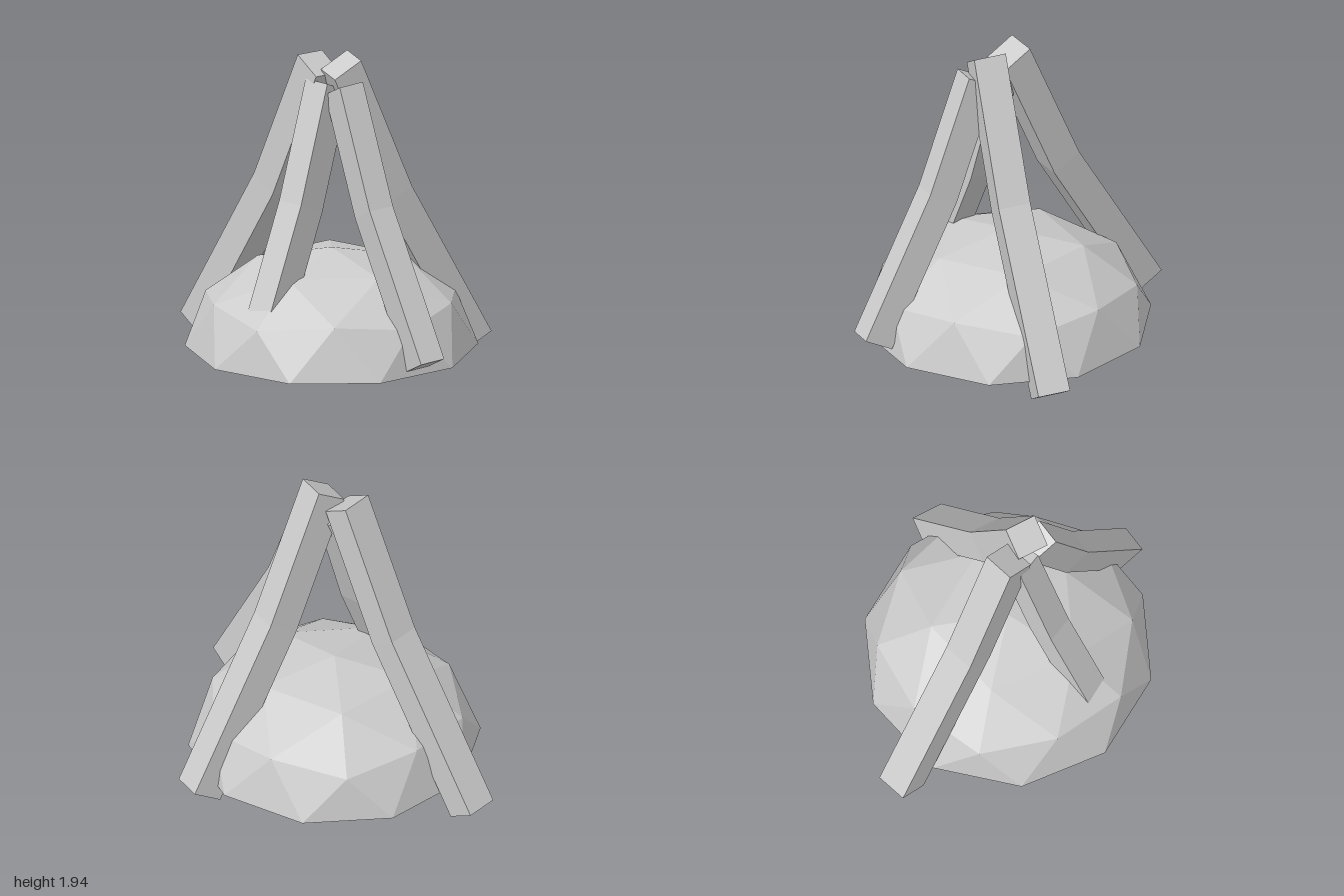
import * as THREE from 'three';

const material = new THREE.MeshStandardMaterial({ color: 0xcccccc, flatShading: true, side: THREE.DoubleSide });

// Square beam with one bend: path runs bottom, bend, top along the middle of the outer face
function beam(name, path, width, depth) {
  const geo = new THREE.BoxGeometry(1, 2, 1, 1, 2, 1).toNonIndexed();
  const pts = path.map(p => new THREE.Vector3(...p));
  const w = new THREE.Vector3(...width), d = new THREE.Vector3(...depth);
  const pos = geo.attributes.position, v = new THREE.Vector3();
  for (let i = 0; i < pos.count; i++) {
    const x = pos.getX(i), level = Math.round(pos.getY(i)) + 1, inward = 0.5 - pos.getZ(i);
    v.copy(pts[level]).addScaledVector(w, x).addScaledVector(d, inward);
    pos.setXYZ(i, v.x, v.y, v.z);
  }
  geo.computeVertexNormals();
  const mesh = new THREE.Mesh(geo, material);
  mesh.name = name;
  return mesh;
}

// Open, flattened upper half of a subdivided icosahedron
function dome() {
  const ico = new THREE.IcosahedronGeometry(1, 1);
  ico.rotateZ(-Math.atan(2 / (1 + Math.sqrt(5)))); // one corner to the pole
  const pos = ico.attributes.position, kept = [];
  for (let i = 0; i < pos.count; i += 3) {
    const tri = [i, i + 1, i + 2];
    if (tri.every(k => pos.getY(k) > -0.001))
      tri.forEach(k => kept.push(pos.getX(k), pos.getY(k), pos.getZ(k)));
  }
  const geo = new THREE.BufferGeometry();
  geo.setAttribute('position', new THREE.Float32BufferAttribute(kept, 3));
  geo.scale(0.875, 0.605, 0.875);
  geo.translate(-0.09, 0.115, 0.025);
  geo.computeVertexNormals();
  const mesh = new THREE.Mesh(geo, material);
  mesh.name = 'dome';
  return mesh;
}

export function createModel() {
  const group = new THREE.Group();
  group.name = 'beamsOverDome';
  group.add(
    dome(),
    beam('leftBeam', [[0.91, 0.108, -0.07], [0.36, 1.1, 0.065], [0.01, 1.935, 0.147]],
      [-0.02, 0.015, -0.195], [-0.17, -0.1, 0.012]),
    beam('frontBeam', [[0.215, 0.24, 0.975], [0.04, 1.09, 0.55], [-0.06, 1.8, 0.295]],
      [0.16, 0.01, -0.04], [-0.035, -0.085, -0.165]),
    beam('backBeam', [[-0.62, 0.11, -0.962], [-0.35, 1.1, -0.41], [-0.19, 1.91, -0.08]],
      [-0.18, 0.01, 0.075], [0.06, -0.1, 0.16]),
    beam('rightBeam', [[-0.765, 0.2, 0.41], [-0.42, 1.08, 0.22], [-0.215, 1.785, 0.11]],
      [0.085, 0, 0.15], [0.16, -0.08, -0.075]),
  );
  return group;
}
